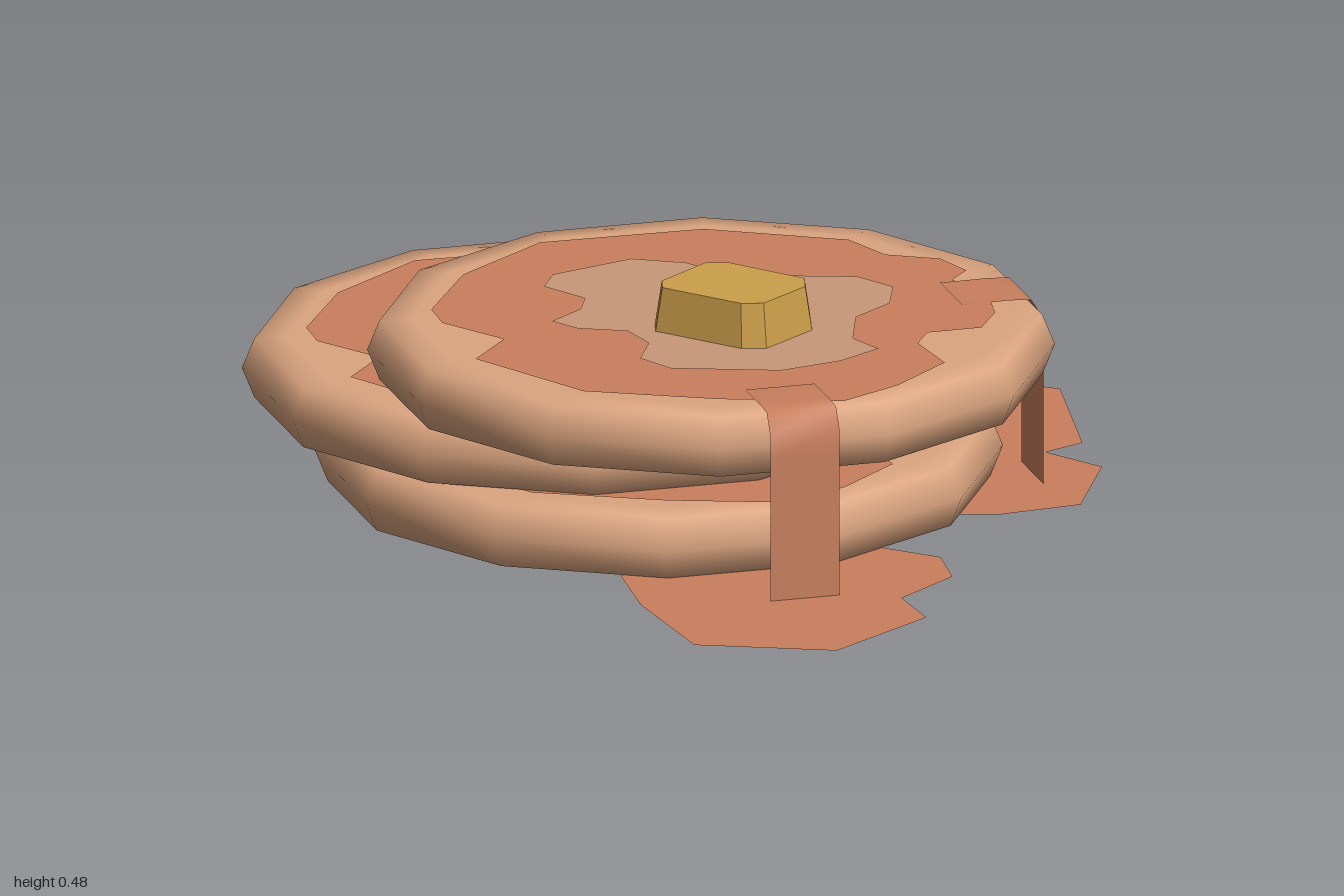
import * as THREE from 'three';

const DOUBLE = THREE.DoubleSide;
const mat = (name, color, side = THREE.FrontSide) => {
  const m = new THREE.MeshStandardMaterial({ color, side });
  m.name = name;
  return m;
};

// Flat horizontal plate from [x, z] corners
function plate(points, y, material, name) {
  const shape = new THREE.Shape(points.map(([x, z]) => new THREE.Vector2(x, -z)));
  const mesh = new THREE.Mesh(new THREE.ShapeGeometry(shape).rotateX(-Math.PI / 2), material);
  mesh.position.y = y;
  mesh.name = name;
  return mesh;
}

// Syrup outline on each pancake, relative to its centre
const SYRUP = [
  [0, -0.57], [0.29, -0.49], [0.36, -0.39], [0.47, -0.36], [0.52, -0.28], [0.49, -0.22],
  [0.56, -0.11], [0.57, 0], [0.54, 0.1], [0.43, 0.13], [0.41, 0.2], [0.46, 0.33],
  [0.36, 0.48], [0.25, 0.58], [0, 0.56], [-0.27, 0.5], [-0.48, 0.28], [-0.42, 0.15],
  [-0.54, 0.04], [-0.56, -0.05], [-0.49, -0.28], [-0.33, -0.49],
];

// Melted butter patch under the butter, in model coordinates
const MELT = [
  [-0.08, -0.38], [0.03, -0.35], [0.1, -0.28], [0.12, -0.17], [0.15, -0.16], [0.22, -0.26],
  [0.37, -0.25], [0.44, -0.18], [0.43, -0.07], [0.36, 0.02], [0.35, 0.16], [0.4, 0.23],
  [0.32, 0.31], [0.2, 0.37], [-0.02, 0.35], [-0.08, 0.28], [-0.06, 0.18], [-0.1, 0.1],
  [-0.2, 0.08], [-0.25, 0.03], [-0.19, -0.05], [-0.18, -0.12], [-0.26, -0.2], [-0.24, -0.28],
];

const BACK_PUDDLE = [
  [0.46, -0.88], [0.79, -0.73], [0.825, -0.37], [0.75, -0.31], [0.86, -0.21],
  [0.81, 0.04], [0.65, 0.1], [0.45, 0.1], [0.15, -0.45], [0.2, -0.69],
];
const FRONT_PUDDLE = [
  [-0.09, 0.68], [0.01, 0.95], [0.295, 0.995], [0.48, 0.78], [0.435, 0.65],
  [0.54, 0.51], [0.52, 0.38], [0.38, 0.3], [0.1, 0.3], [-0.13, 0.46],
];

export function createModel() {
  const root = new THREE.Group();
  root.name = 'pancakeStack';
  const dough = mat('pancakeDough', 0xdca580);
  const syrup = mat('syrup', 0xc87f5d, DOUBLE);
  const melt = mat('meltedButter', 0xc99878);
  const butterMat = mat('butter', 0xcc9f4a);

  // Three twelve-sided pancakes with a rounded rim
  const H = 0.13;
  const profile = [
    [0.6, 0], [0.665, 0.002], [0.69, 0.065], [0.665, 0.126], [0.6, H], [0, H],
  ].map(([r, y]) => new THREE.Vector2(r, y));
  const body = new THREE.LatheGeometry(profile, 12);
  const under = new THREE.CircleGeometry(0.6, 12).rotateX(Math.PI / 2);
  [['bottom', -0.03, -0.16], ['middle', -0.173, -0.307], ['top', 0.07, -0.01]].forEach(([n, x, z], i) => {
    const pancake = new THREE.Group();
    pancake.name = n + 'Pancake';
    const disc = new THREE.Mesh(body, dough);
    disc.name = n + 'PancakeBody';
    const base = new THREE.Mesh(under, syrup);
    base.name = n + 'PancakeUnderside';
    pancake.add(disc, base, plate(SYRUP, H + 0.002, syrup, n + 'PancakeSyrup'));
    pancake.position.set(x, i * H, z);
    root.add(pancake);
  });

  root.add(plate(MELT, 3 * H + 0.004, melt, 'meltedButterPatch'));
  root.add(plate(BACK_PUDDLE, 0.002, syrup, 'backSyrupPuddle'));
  root.add(plate(FRONT_PUDDLE, 0.002, syrup, 'frontSyrupPuddle'));

  // Syrup ribbons: [radius, height] rows run over the rim and down to the plate
  const drip = (name, width, degrees, shift, r) => {
    const rows = [[0.5, 0.393], [0.6, 0.394], [r - 0.025, 0.391], [r, 0.35], [r, 0.3], [r, 0]];
    const geo = new THREE.PlaneGeometry(width, 1, 1, rows.length - 1);
    const pos = geo.attributes.position;
    for (let i = 0; i < pos.count; i++) {
      const [radius, y] = rows[Math.floor(i / 2)];
      pos.setXYZ(i, pos.getX(i) + shift, y, radius);
    }
    geo.computeVertexNormals();
    const mesh = new THREE.Mesh(geo, syrup);
    mesh.name = name;
    mesh.position.set(0.07, 0, -0.01);
    mesh.rotation.y = THREE.MathUtils.degToRad(degrees);
    root.add(mesh);
  };
  drip('frontSyrupDrip', 0.145, 15, -0.005, 0.677);
  drip('sideSyrupDrip', 0.155, 105, -0.008, 0.67);

  // Tapered butter pat with cut corners
  const outline = [
    [-0.16, -0.02], [-0.06, -0.15], [-0.01, -0.15], [0.155, -0.03],
    [0.155, 0.03], [0.06, 0.15], [0.01, 0.15], [-0.16, 0.03],
  ];
  const shape = new THREE.Shape(outline.map(([x, z]) => new THREE.Vector2(x, -z)));
  const geo = new THREE.ExtrudeGeometry(shape, { depth: 0.095, bevelEnabled: false }).rotateX(-Math.PI / 2);
  const p = geo.attributes.position;
  for (let i = 0; i < p.count; i++) {
    if (p.getY(i) > 0.05) p.setXYZ(i, p.getX(i) * 0.91, p.getY(i), p.getZ(i) * 0.91);
  }
  geo.computeVertexNormals();
  const butter = new THREE.Mesh(geo, butterMat);
  butter.name = 'butterPat';
  butter.position.set(0.115, 3 * H, 0.073);
  root.add(butter);

  return root;
}
